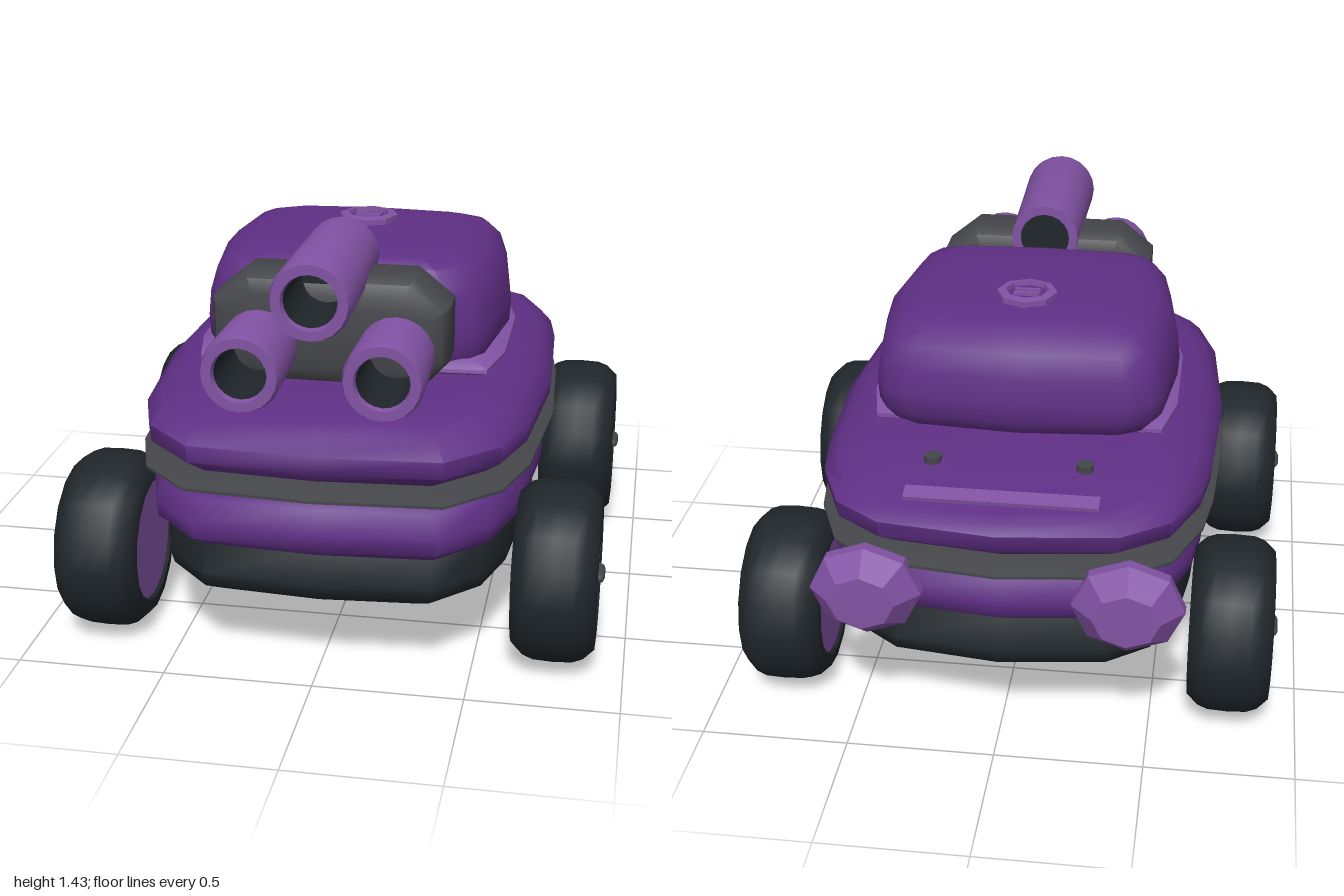
import * as THREE from 'three';
import { toCreasedNormals } from 'three/addons/utils/BufferGeometryUtils.js';

const mat = (color) => new THREE.MeshStandardMaterial({ color });
const purple = mat(0x5f2f85), lilac = mat(0x8152a3), black = mat(0x20262b), grey = mat(0x45464a);

// Half outlines from front centre to back centre, in units of half width and half length
const hullOutline = [[0, 1], [0.6, 0.97], [0.84, 0.8], [0.94, 0.57], [1, 0.07], [0.97, -0.4],
  [0.93, -0.6], [0.8, -0.83], [0.57, -0.95], [0, -1]];
const turretOutline = [[0, 1], [0.68, 0.96], [0.84, 0.88], [0.92, 0.72], [1, 0], [0.93, -0.68],
  [0.86, -0.84], [0.7, -0.94], [0, -1]];
const skirtOutline = [[0, 1], [0.92, 0.93], [1, 0.45], [1, -0.5], [0.92, -0.97], [0, -1]];

// Closed stack of rings; each section is [y, halfWidth, zFront, zBack, rearDrop]
function loft(half, sections, crease = 0.9) {
  const ring = [...half, ...half.slice(1, -1).reverse().map(([x, z]) => [-x, z])];
  const n = ring.length, pos = [], idx = [];
  for (const [y, w, zf, zb, drop = 0] of sections) {
    for (const [u, v] of ring) {
      const z = (zf + zb) / 2 + v * (zf - zb) / 2;
      pos.push(u * w, y - drop * Math.max(0, -0.5 - z), z);
    }
  }
  const last = (sections.length - 1) * n, bottom = pos.length / 3;
  const first = sections[0], top = sections[sections.length - 1];
  pos.push(0, first[0], (first[2] + first[3]) / 2, 0, top[0], (top[2] + top[3]) / 2);
  for (let j = 0; j < n; j++) {
    const k = (j + 1) % n;
    for (let o = 0; o < last; o += n) idx.push(o + j, o + k, o + n + k, o + j, o + n + k, o + n + j);
    idx.push(bottom, k, j, bottom + 1, last + j, last + k);
  }
  const g = new THREE.BufferGeometry();
  g.setAttribute('position', new THREE.Float32BufferAttribute(pos, 3));
  g.setIndex(idx);
  return toCreasedNormals(g, crease);
}

const lathe = (pts, sides, crease = 0.8) =>
  toCreasedNormals(new THREE.LatheGeometry(pts.map(([r, y]) => new THREE.Vector2(r, y)), sides), crease);

export function createModel() {
  const model = new THREE.Group();
  const add = (name, geometry, material, x = 0, y = 0, z = 0, parent = model) => {
    const m = new THREE.Mesh(geometry, material);
    m.name = name;
    m.position.set(x, y, z);
    parent.add(m);
    return m;
  };

  // Hull layers
  add('chassis', loft(hullOutline, [[0.25, 0.55, 0.86, -0.8], [0.29, 0.62, 0.93, -0.87],
    [0.34, 0.63, 0.95, -0.89], [0.45, 0.62, 0.9, -0.84]]), black);
  add('lowerHull', loft(hullOutline, [[0.42, 0.58, 0.87, -0.79], [0.44, 0.63, 0.92, -0.83],
    [0.485, 0.66, 0.99, -0.89], [0.54, 0.665, 1.0, -0.9], [0.62, 0.64, 0.97, -0.88],
    [0.655, 0.6, 0.92, -0.84]]), purple);
  add('belt', loft(hullOutline, [[0.65, 0.6, 0.9, -0.83], [0.655, 0.7, 1.0, -0.93],
    [0.665, 0.7, 1.0, -0.93], [0.685, 0.62, 0.93, -0.86]]), grey);
  add('upperHull', loft(hullOutline, [[0.675, 0.58, 0.86, -0.8], [0.69, 0.62, 0.9, -0.83],
    [0.74, 0.685, 0.965, -0.9], [0.8, 0.69, 0.97, -0.91], [0.85, 0.645, 0.92, -0.88, 0.05],
    [0.88, 0.59, 0.86, -0.83, 0.12], [0.895, 0.52, 0.76, -0.7, 0.1], [0.9, 0.42, 0.6, -0.55]]), purple);

  // Rear deck details
  const strip = add('rearStrip', new THREE.BoxGeometry(0.64, 0.015, 0.06), lilac, 0, 0.863, -0.77);
  strip.rotation.x = -0.2;
  for (const s of [-1, 1]) {
    add('deckBolt', new THREE.CylinderGeometry(0.03, 0.03, 0.03, 10), grey, s * 0.255, 0.895, -0.59);
  }

  // Turret
  add('turretSkirt', loft(skirtOutline, [[0.895, 0.47, 0.42, -0.33], [0.915, 0.535, 0.46, -0.365],
    [0.93, 0.535, 0.46, -0.365], [0.955, 0.48, 0.43, -0.33]]), lilac);
  add('turret', loft(turretOutline, [[0.89, 0.45, 0.4, -0.36], [0.92, 0.49, 0.43, -0.42],
    [0.97, 0.525, 0.45, -0.455], [1.04, 0.53, 0.45, -0.46], [1.13, 0.52, 0.45, -0.445],
    [1.21, 0.495, 0.44, -0.42], [1.26, 0.45, 0.42, -0.37], [1.282, 0.38, 0.36, -0.3],
    [1.29, 0.26, 0.25, -0.2]]), purple);

  // Roof hatch: octagonal ring, disc and two bars
  const hatch = new THREE.Group();
  hatch.name = 'hatch';
  hatch.position.set(0, 1.28, -0.105);
  model.add(hatch);
  add('hatchRing', lathe([[0.105, 0], [0.105, 0.03], [0.075, 0.035], [0.07, 0]], 8, 0.4), lilac, 0, 0, 0, hatch);
  add('hatchDisc', new THREE.CylinderGeometry(0.075, 0.075, 0.02, 8), purple, 0, 0.01, 0, hatch);
  for (const z of [-0.017, 0.017]) {
    add('hatchBar', new THREE.BoxGeometry(0.09, 0.012, 0.014), lilac, 0, 0.024, z, hatch);
  }

  // Gun mount: bevelled octagonal block
  const corners = [[0.25, 0.125], [0.33, 0.06], [0.33, -0.07], [0.28, -0.125]];
  const block = new THREE.Shape([...corners, ...corners.map(([x, y]) => [-x, y]).reverse()]
    .map(([x, y]) => new THREE.Vector2(x, y)));
  add('gunMount', toCreasedNormals(new THREE.ExtrudeGeometry(block, {
    depth: 0.13, bevelThickness: 0.06, bevelSize: 0.06, bevelSegments: 2, steps: 1,
  }), 0.8), grey, 0, 1.117, 0.5);

  // Three barrels with dark bores
  for (const [x, y, back] of [[0, 1.307, 0.4], [0.225, 1.06, 0.55], [-0.225, 1.06, 0.55]]) {
    const len = 0.975 - back;
    const gun = new THREE.Group();
    gun.name = 'gun';
    gun.position.set(x, y, back);
    gun.rotation.x = Math.PI / 2;
    model.add(gun);
    add('barrel', lathe([[0.09, 0], [0.122, 0], [0.131, len - 0.03], [0.122, len], [0.09, len],
      [0.085, len - 0.02]], 20), lilac, 0, 0, 0, gun);
    add('bore', lathe([[0.085, len - 0.02], [0.085, len - 0.3], [0, len - 0.3]], 20), black, 0, 0, 0, gun);
    add('breech', lathe([[0, 0.005], [0.1, 0.005]], 20), black, 0, 0, 0, gun);
  }

  // Wheels
  const tyre = lathe([[0.2, 0.02], [0.215, 0], [0.255, 0.003], [0.29, 0.04], [0.303, 0.075], [0.306, 0.14],
    [0.303, 0.205], [0.29, 0.24], [0.255, 0.277], [0.215, 0.28], [0.2, 0.265]], 16, 0.9);
  const hub = new THREE.CylinderGeometry(0.21, 0.21, 0.262, 16);
  const slot = new THREE.CapsuleGeometry(0.018, 0.07, 4, 8);
  for (const s of [-1, 1]) {
    for (const [end, z] of [['front', 0.63], ['rear', -0.565]]) {
      const wheel = new THREE.Group();
      wheel.name = end + 'Wheel';
      wheel.position.set(s * 0.625, 0.31, z);
      wheel.rotation.z = -s * Math.PI / 2;
      model.add(wheel);
      add('tyre', tyre, black, 0, 0, 0, wheel);
      add('hub', hub, lilac, 0, 0.142, 0, wheel);
      add('hubSlot', slot, grey, 0, 0.28, 0, wheel).rotation.x = Math.PI / 2;
    }

    // Rear pods: faceted eight-sided lenses
    const pod = add('rearPod', lathe([[0, -0.1], [0.1, -0.1], [0.185, -0.02], [0.185, 0.02], [0.11, 0.1],
      [0, 0.1]], 8, 0.5), lilac, s * 0.43, 0.57, -0.9);
    pod.rotation.x = -Math.PI / 2;
    pod.scale.z = 0.87;
  }
  return model;
}
